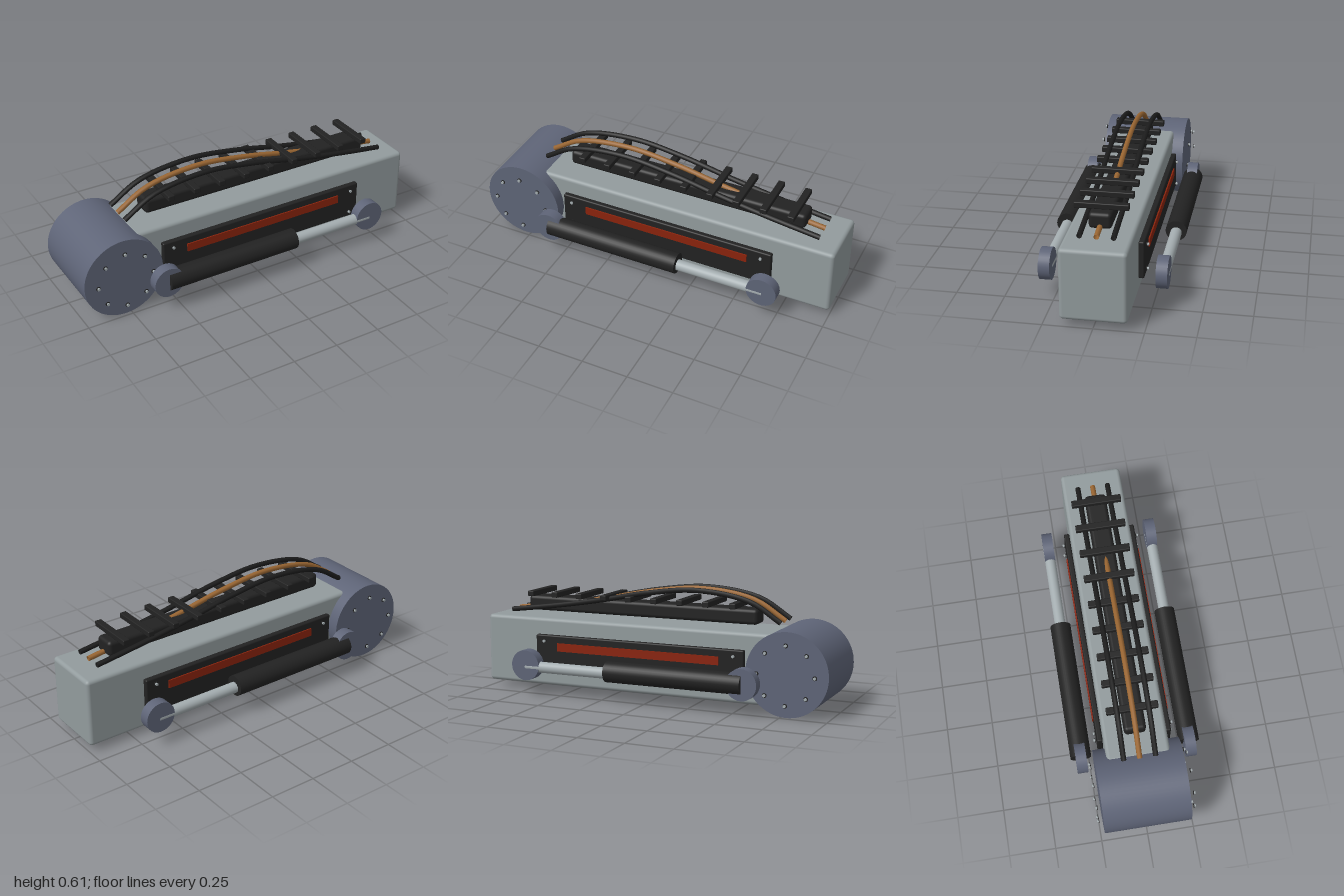
import * as THREE from 'three';
import { RoundedBoxGeometry } from 'three/addons/geometries/RoundedBoxGeometry.js';

const paint = (name, color, side = THREE.FrontSide) => {
  const m = new THREE.MeshStandardMaterial({ color, side });
  m.name = name;
  return m;
};

export function createModel() {
  const model = new THREE.Group();
  model.name = 'roboticArm';
  const shell = paint('shellGrey', 0x929b9d);
  const joint = paint('jointBlueGrey', 0x5e6477);
  const black = paint('black', 0x222222);
  const steel = paint('steel', 0xa4adb0);
  const red = paint('red', 0x8a230c);
  const hose = paint('hoseBlack', 0x1c1c1c, THREE.DoubleSide);
  const copper = paint('copper', 0x9a6632, THREE.DoubleSide);

  const add = (name, geometry, material, x, y, z, parent = model) => {
    const mesh = new THREE.Mesh(geometry, material);
    mesh.name = name;
    mesh.position.set(x, y, z);
    parent.add(mesh);
    return mesh;
  };
  const box = (w, h, d, r) => new RoundedBoxGeometry(w, h, d, 3, r);
  const discZ = (r, d, n = 32) => new THREE.CylinderGeometry(r, r, d, n).rotateX(Math.PI / 2);
  const rodX = (r, l) => new THREE.CylinderGeometry(r, r, l, 32).rotateZ(Math.PI / 2);

  // Bolt: dark washer with a steel head on its outer side
  const bolt = (name, x, y, z) => {
    const g = new THREE.Group();
    g.name = name;
    g.position.set(x, y, z);
    model.add(g);
    add('washer', discZ(0.012, 0.003, 16), black, 0, 0, 0, g);
    add('boltHead', discZ(0.008, 0.009, 6), steel, 0, 0, Math.sign(z) * 0.006, g);
  };

  // Main beam and shoulder drum
  add('armBeam', box(1.68, 0.374, 0.334, 0.02), shell, 0.16, 0.222, 0);
  add('shoulderDrum', discZ(0.22, 0.46, 64), joint, -0.78, 0.22, 0);

  for (const s of [1, -1]) {
    // Ring of drum bolts
    for (let i = 0; i < 8; i++) {
      const a = (i * Math.PI) / 4;
      bolt('drumBolt', -0.78 + 0.154 * Math.cos(a), 0.22 + 0.154 * Math.sin(a), s * 0.252);
    }

    // Side panel with accent strip and corner bolts
    add('sidePanel', box(1.216, 0.2, 0.03, 0.008), black, 0.07, 0.221, s * 0.183);
    add('accentStrip', new THREE.BoxGeometry(0.945, 0.045, 0.02), red, 0.0725, 0.258, s * 0.195);
    for (const dx of [-1, 1]) for (const y of [0.154, 0.288])
      bolt('panelBolt', 0.07 + dx * 0.553, y, s * 0.203);

    // Hydraulic piston between two round mounts
    const z = s * 0.294;
    add('pistonBarrel', rodX(0.056, 0.765), black, -0.187, 0.169, z);
    add('pistonRod', rodX(0.03, 0.49), steel, 0.435, 0.16, z);
    for (const x of [-0.57, 0.677]) add('pistonMount', discZ(0.083, 0.058), joint, x, 0.169, z);
  }

  // Cable rail with cross bars
  add('cableRail', box(1.36, 0.083, 0.115, 0.02), black, 0.12, 0.473, 0);
  for (let i = 0; i < 9; i++)
    add('crossBar', box(0.037, 0.03, 0.272, 0.005), black, -0.448 + i * 0.149, 0.535, 0);

  // Three arched cables
  const path = [[-0.695, 0.457], [-0.525, 0.557], [-0.23, 0.6], [0.06, 0.57],
    [0.33, 0.517], [0.6, 0.472], [0.89, 0.433]];
  const curve = new THREE.CatmullRomCurve3(path.map(([x, y]) => new THREE.Vector3(x, y, 0)));
  for (const [z, m] of [[-0.083, hose], [0, copper], [0.083, hose]])
    add('cable', new THREE.TubeGeometry(curve, 40, 0.014, 8), m, 0, 0, z);

  return model;
}
